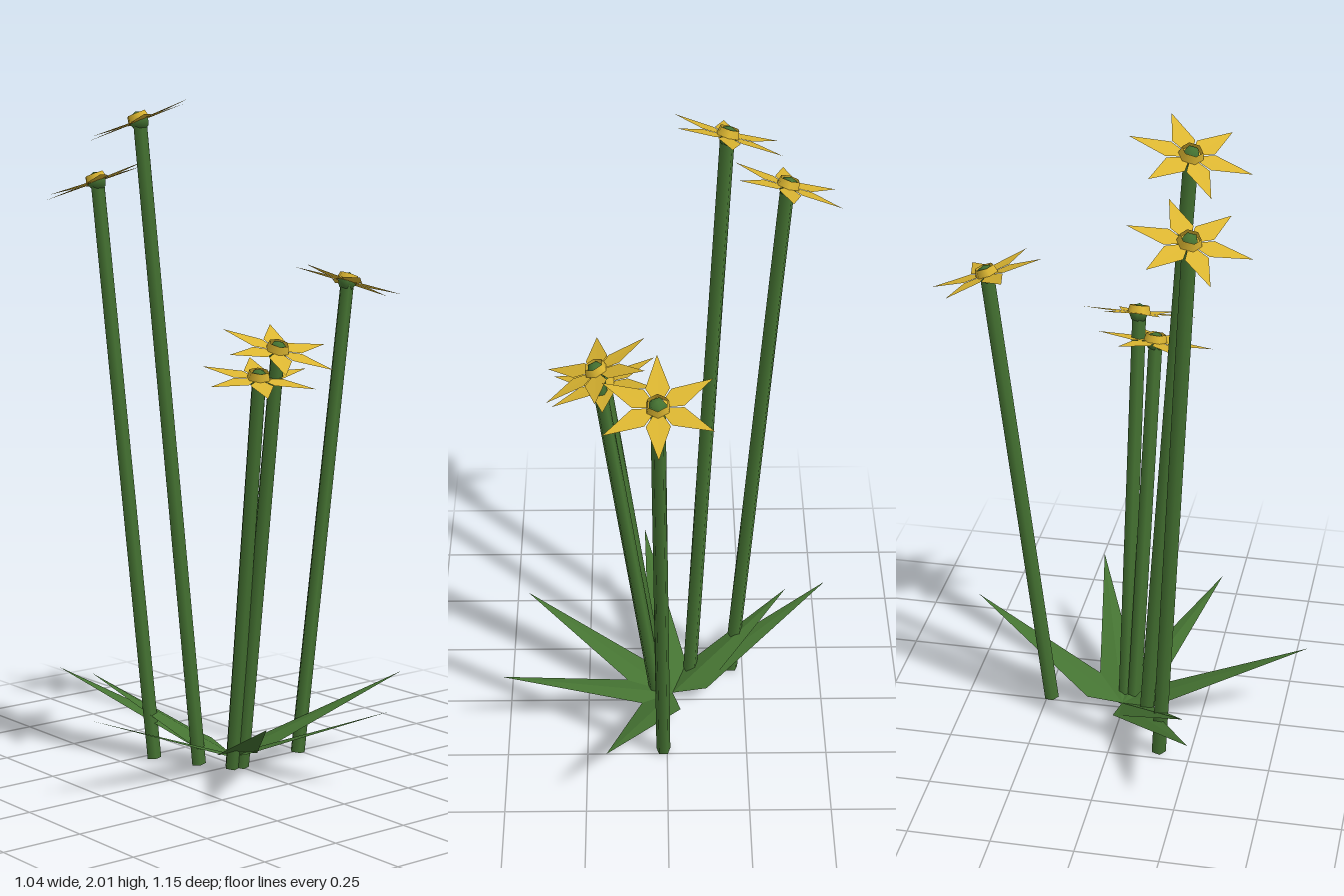
import * as THREE from 'three';

const UP = new THREE.Vector3(0, 1, 0);

// Flat diamond blade: root, two shoulders, tip
function diamond(root, left, right, tip) {
  const g = new THREE.BufferGeometry();
  g.setAttribute('position', new THREE.Float32BufferAttribute([...root, ...left, ...tip, ...root, ...tip, ...right], 3));
  g.computeVertexNormals();
  return g;
}

export function createModel() {
  const model = new THREE.Group();
  const green = new THREE.MeshStandardMaterial({ color: 0x47753a });
  green.color.set(0x457332);
  green.name = 'leafGreen';
  green.side = THREE.DoubleSide;
  const yellow = new THREE.MeshStandardMaterial({ color: 0xdcb631, side: THREE.DoubleSide });
  yellow.name = 'petalYellow';

  const add = (parent, name, geometry, material) => {
    const mesh = new THREE.Mesh(geometry, material);
    mesh.name = name;
    parent.add(mesh);
    return mesh;
  };

  // Shared flower pieces
  const petalGeo = diamond([0, 0, 0], [-0.034, 0.002, 0.064], [0.034, 0.002, 0.064], [0, 0.004, 0.177]);
  const cupGeo = new THREE.CylinderGeometry(0.03, 0.036, 0.024, 6, 1, true);
  const budGeo = new THREE.SphereGeometry(0.03, 5, 4);

  // Stem foot (x, z), flower centre, and the direction the flower faces
  const flowers = [
    { foot: [-0.212, 0.152], head: [-0.352, 1.76, 0.248], face: [-0.3, 1, 0.23] },
    { foot: [-0.075, 0.085], head: [-0.175, 1.94, 0.22], face: [-0.29, 1, 0.28] },
    { foot: [0.012, -0.235], head: [0.027, 1.452, -0.413], face: [0.05, 1, -0.35] },
    { foot: [0.028, 0.0], head: [0.204, 1.285, 0.008], face: [0.385, 1, 0.02] },
    { foot: [0.02, 0.03], head: [0.184, 1.205, 0.062], face: [0.22, 1, 0.08] },
  ];

  for (const { foot, head, face } of flowers) {
    const a = new THREE.Vector3(foot[0], 0.003, foot[1]);
    const b = new THREE.Vector3(...head);
    const dir = b.clone().sub(a);

    // Stem
    const stem = add(model, 'stem', new THREE.CylinderGeometry(0.022, 0.023, dir.length(), 5), green);
    stem.position.copy(a).add(b).multiplyScalar(0.5);
    stem.quaternion.setFromUnitVectors(UP, dir.normalize());

    // Flower head
    const flower = new THREE.Group();
    flower.name = 'flower';
    flower.position.copy(b);
    flower.quaternion.setFromUnitVectors(UP, new THREE.Vector3(...face).normalize());
    model.add(flower);
    for (let i = 0; i < 6; i++) {
      add(flower, 'petal', petalGeo, yellow).rotation.y = (i * Math.PI) / 3;
    }
    add(flower, 'flowerCup', cupGeo, yellow).position.y = 0.012;
    add(flower, 'flowerBud', budGeo, green);
  }

  // Ground leaves, given by their tips (x, z)
  const tips = [[0.185, -0.51], [0.515, -0.163], [0.447, 0.245], [0.067, 0.573], [-0.52, 0.29], [-0.39, 0.255]];
  for (const [x, z] of tips) {
    const length = Math.hypot(x + 0.02, z);
    const leaf = add(model, 'leaf', diamond([0, 0.03, 0], [-0.062, 0.056, 0.09], [0.062, 0.056, 0.09], [0, 0.25, length]), green);
    leaf.position.x = -0.02;
    leaf.rotation.y = Math.atan2(x + 0.02, z);
  }

  return model;
}
